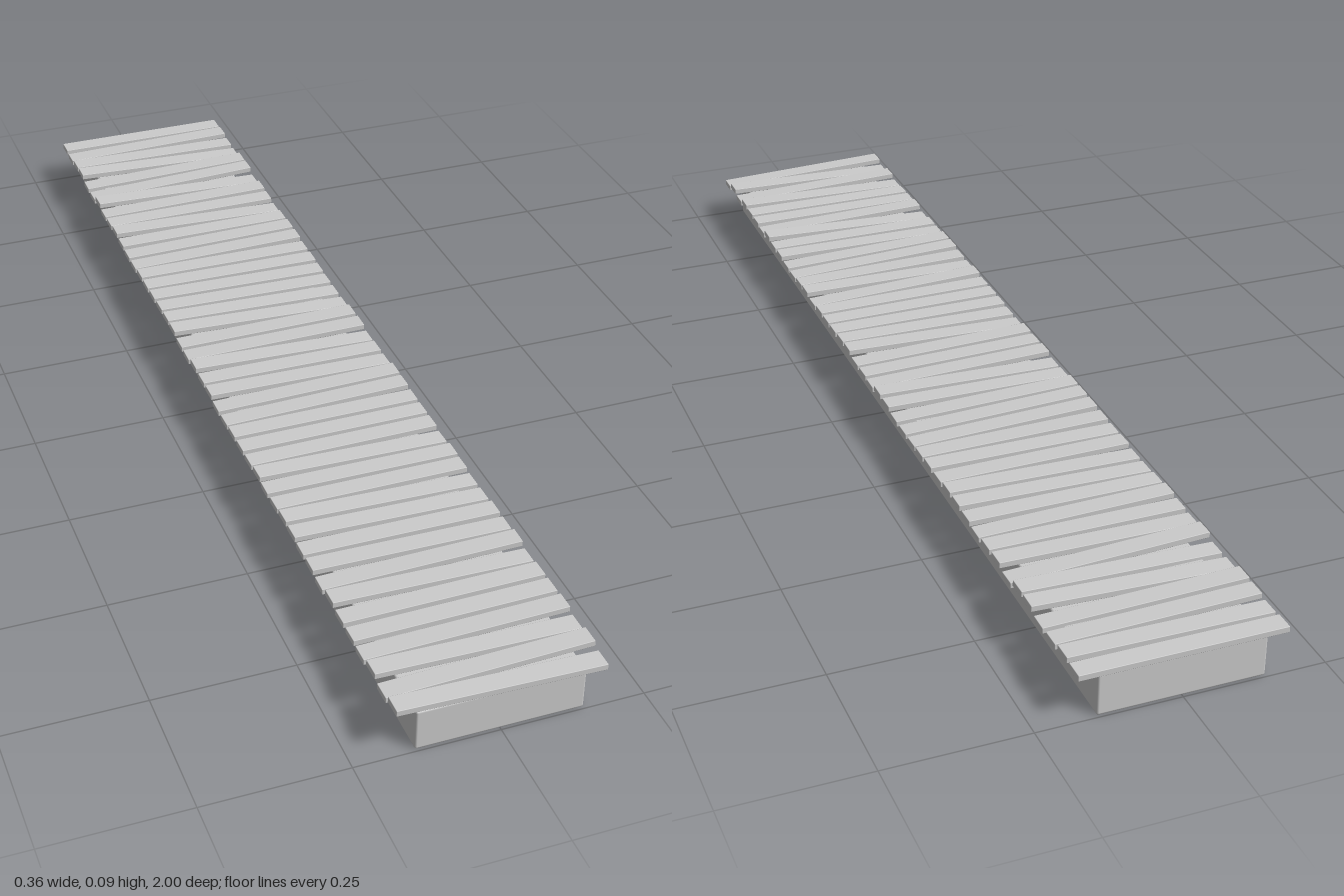
import * as THREE from 'three';
import { RoundedBoxGeometry } from 'three/addons/geometries/RoundedBoxGeometry.js';

export function createModel() {
  const model = new THREE.Group();
  model.name = 'plankWalkway';
  const material = new THREE.MeshStandardMaterial({ color: 0xcccccc });

  // Small repeatable generator, returns values from -1 to 1
  let seed = 17;
  const vary = () => {
    seed = (seed * 16807) % 2147483647;
    return (seed / 2147483647) * 2 - 1;
  };

  // Long solid beam with softened edges
  const base = new THREE.Mesh(new RoundedBoxGeometry(0.29, 0.077, 1.992, 2, 0.004), material);
  base.name = 'base';
  base.position.y = 0.0385;
  model.add(base);

  // Cross planks, each slightly rolled and skewed as if laid by hand
  const planks = new THREE.Group();
  planks.name = 'planks';
  const count = 44, width = 0.036, length = 0.36;
  const plankGeometry = new RoundedBoxGeometry(length, 0.011, width, 1, 0.001);
  const first = 1 - width / 2;
  for (let i = 0; i < count; i++) {
    const plank = new THREE.Mesh(plankGeometry, material);
    plank.name = 'plank';
    const atEnd = i === 0 || i === count - 1;
    plank.position.set(0, 0.082, first - (2 * first * i) / (count - 1));
    const roll = vary() * 0.035, skew = vary() * 0.014;
    plank.rotation.z = i === 0 ? -0.033 : roll;
    plank.rotation.y = atEnd ? 0 : skew;
    planks.add(plank);
  }
  model.add(planks);
  return model;
}
